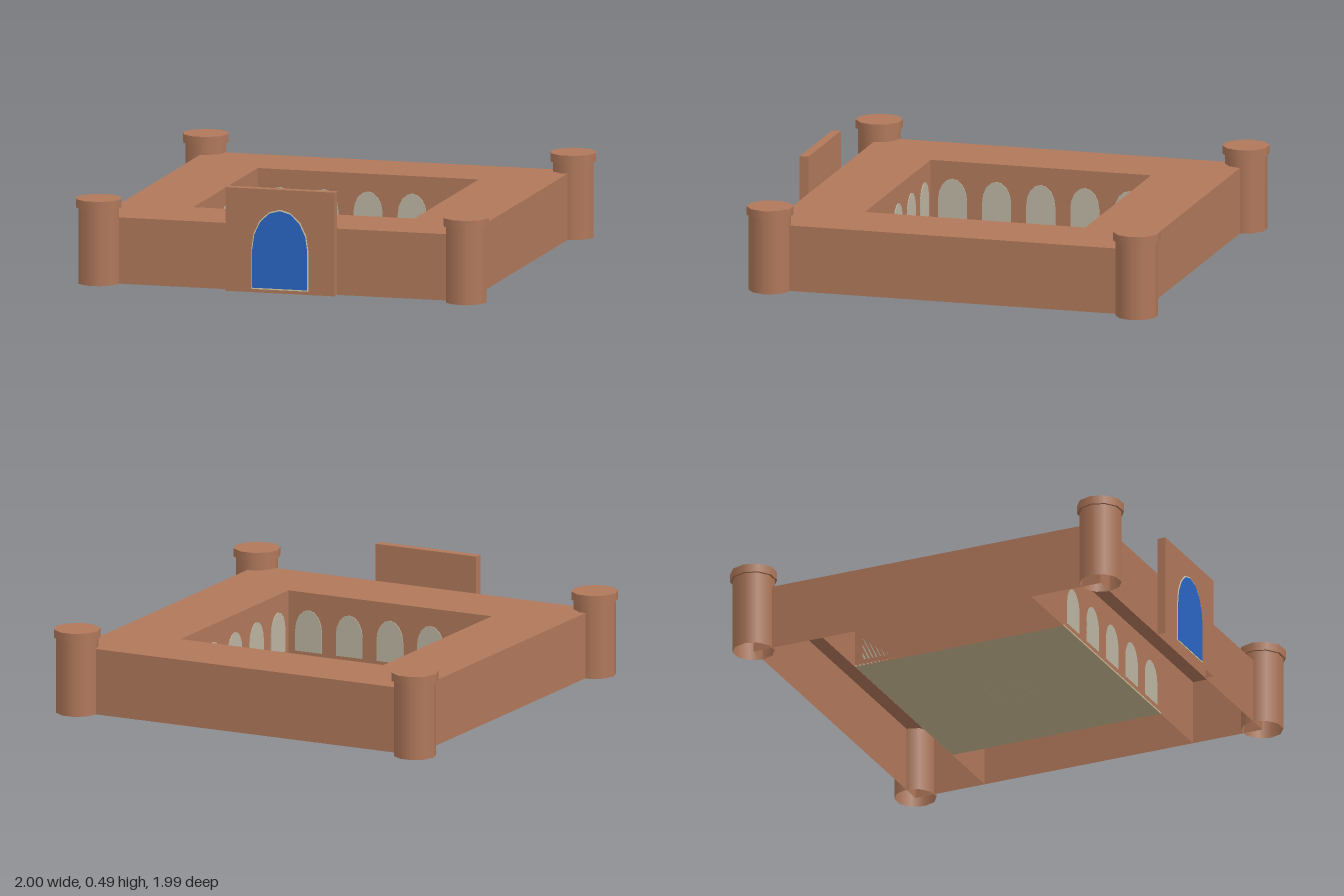
import * as THREE from 'three';

const mat = (name, color, side = THREE.FrontSide) => {
  const m = new THREE.MeshStandardMaterial({ color, side });
  m.name = name;
  return m;
};

export function createModel() {
  const clay = mat('terracotta', 0xb0785a, THREE.DoubleSide);
  const sand = mat('sand', 0xc8b994);
  const blue = mat('tile blue', 0x2a66c4);
  const water = mat('water', 0x3f97bf);
  const cream = mat('cream', 0xd8cfae);
  const stone = mat('pale stone', 0xbcb4a2);

  const model = new THREE.Group();
  model.name = 'courtyardFort';
  const add = (name, geo, material, x = 0, y = 0, z = 0, parent = model) => {
    const mesh = new THREE.Mesh(geo, material);
    mesh.name = name;
    mesh.position.set(x, y, z);
    parent.add(mesh);
    return mesh;
  };

  // Box standing on its base, without the underside
  const openBox = (w, h, d) => {
    const geo = new THREE.BoxGeometry(w, h, d).translate(0, h / 2, 0);
    const idx = Array.from(geo.index.array);
    idx.splice(18, 6);
    geo.setIndex(idx);
    geo.clearGroups();
    return geo;
  };

  // Thin arched plate facing +z
  const archPlate = (half, bottom, spring, rise, depth) => {
    const pts = [new THREE.Vector2(-half, bottom), new THREE.Vector2(half, bottom)];
    for (let i = 0; i <= 8; i++) {
      const a = (i / 8) * Math.PI;
      pts.push(new THREE.Vector2(half * Math.cos(a), spring + rise * Math.sin(a)));
    }
    return new THREE.ExtrudeGeometry(new THREE.Shape(pts), { depth, bevelEnabled: false });
  };

  // Hollow wings around the court
  const outer = 0.89, inner = 0.535, wallH = 0.313;
  const thick = outer - inner, mid = (outer + inner) / 2;
  for (const s of [1, -1]) {
    add(s > 0 ? 'frontWing' : 'backWing', openBox(outer * 2, wallH, thick), clay, 0, 0, s * mid);
    add(s > 0 ? 'leftWing' : 'rightWing', openBox(thick, wallH, inner * 2), clay, s * mid, 0, 0);
  }

  // Corner towers with wider caps
  const shaft = new THREE.CylinderGeometry(0.099, 0.099, 0.36, 10, 1, true).rotateY(Math.PI / 2);
  const cap = new THREE.CylinderGeometry(0.11, 0.11, 0.04, 10).rotateY(Math.PI / 2);
  for (const x of [-outer, outer]) {
    for (const z of [-outer, outer]) {
      const tower = new THREE.Group();
      tower.name = 'cornerTower';
      tower.position.set(x, 0, z);
      add('towerShaft', shaft, clay, 0, 0.18, 0, tower);
      add('towerCap', cap, clay, 0, 0.38, 0, tower);
      model.add(tower);
    }
  }

  // Court floor and pool
  add('courtFloor', new THREE.BoxGeometry(inner * 2, 0.008, inner * 2), sand, 0, 0.005, 0);
  add('poolRim', openBox(0.178, 0.028, 0.178), clay);
  add('poolWater', new THREE.BoxGeometry(0.154, 0.006, 0.154), water, 0, 0.029, 0);

  // Five arched niches on each court wall
  const niche = archPlate(0.07, 0.03, 0.13, 0.1, 0.004);
  for (let side = 0; side < 4; side++) {
    const arcade = new THREE.Group();
    arcade.name = 'arcade';
    arcade.rotation.y = (side * Math.PI) / 2;
    for (let i = -2; i <= 2; i++) add('niche', niche, stone, i * 0.214, 0, -inner, arcade);
    model.add(arcade);
  }

  // Gate slab with a tiled arch and cream edging
  add('gateSlab', openBox(0.53, 0.49, 0.042), clay, 0, 0, 0.911);
  add('gateArchEdging', archPlate(0.138, 0.016, 0.203, 0.193, 0.003), cream, 0, 0, 0.932);
  add('gateArchTiles', archPlate(0.133, 0.022, 0.203, 0.187, 0.005), blue, 0, 0, 0.932);

  return model;
}
